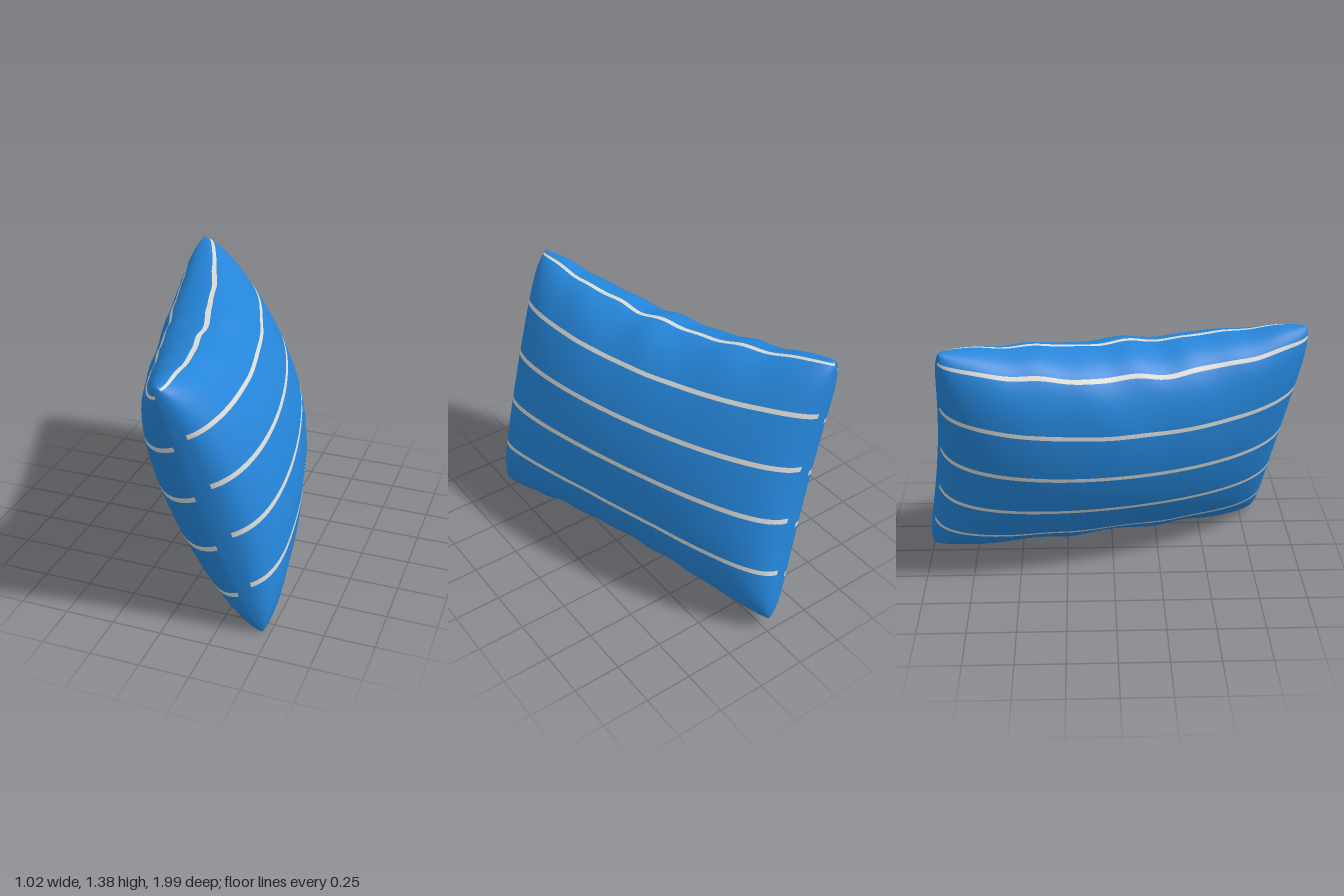
import * as THREE from 'three';

const blue = new THREE.MeshStandardMaterial({ color: 0x2585d9 });
blue.name = 'blue fabric';
const white = new THREE.MeshStandardMaterial({ color: 0xd9d9d6 });
white.name = 'white stripe';

// Pillow axes: half length, half height and the thickness direction
const CENTER = new THREE.Vector3(0, 0.7, 0);
const U = new THREE.Vector3(0.245, -0.038, 0.932);
const V = new THREE.Vector3(-0.228, 0.674, 0.087);
const N = new THREE.Vector3().crossVectors(V, U).normalize();
const HALF_THICKNESS = 0.36;

// Point on the skin: theta runs along the length, phi runs around the section
function skinPoint(theta, phi) {
  const u = Math.sin(theta), v = Math.cos(phi), s = Math.sin(phi);
  const open = Math.max(0, Math.cos(theta));
  const gather = Math.pow(v, 4) * open * open;
  // seams draw inward, corners are rounded, small irregular folds along top and bottom
  const folds = 0.01 * Math.sin(14 * u + 2 * v) + 0.008 * Math.sin(23 * u + 1);
  const along = u * (1 - 0.045 * (1 - v * v) - 0.03 * Math.pow(v, 10));
  const up = v * (1 - 0.15 * open * open - 0.03 * Math.pow(u, 10) + gather * folds);
  const dents = 1 + gather * 0.07 * Math.sin(13 * u + 3 * s);
  const plump = Math.pow(open, 0.75) * Math.sign(s) * Math.pow(Math.abs(s), 0.85);
  return CENTER.clone().addScaledVector(U, along).addScaledVector(V, up)
    .addScaledVector(N, HALF_THICKNESS * plump * dents);
}

// Stripe borders around the section: face stripes plus a thin one on the bottom seam
const stripeHeights = { left: [0.978, 0.61, 0.21, -0.19, -0.6], right: [0.94, 0.55, 0.145, -0.26, -0.65] };
const stripe = (phi, halfWidth) => {
  const speed = Math.hypot(0.69 * Math.sin(phi), HALF_THICKNESS * Math.cos(phi));
  return [phi - halfWidth / speed, phi + halfWidth / speed];
};
const stripes = [
  ...stripeHeights.left.map(v => stripe(Math.acos(v), 0.013)),
  stripe(Math.PI, 0.005),
  ...stripeHeights.right.map(v => stripe(2 * Math.PI - Math.acos(v), 0.013)),
];

function buildSkin() {
  const rows = 96, steps = 96;
  const inStripe = phi => stripes.some(([a, b]) => phi > a && phi < b);

  // Section angles: even steps plus the exact stripe borders
  const phis = stripes.flat();
  for (let i = 0; i <= steps; i++) {
    const phi = (i / steps) * 2 * Math.PI;
    if (!inStripe(phi)) phis.push(phi);
  }
  phis.sort((a, b) => a - b);

  const positions = [], fabric = [], bands = [], cols = phis.length;
  for (let i = 0; i <= rows; i++) {
    const theta = (i / rows - 0.5) * Math.PI;
    for (const phi of phis) positions.push(...skinPoint(theta, phi).toArray());
  }
  for (let i = 0; i < rows; i++) {
    const nearEnd = i < 2 || i >= rows - 2; // stripes stop short of the end seams
    for (let j = 0; j < cols - 1; j++) {
      const a = i * cols + j, b = a + cols;
      const striped = !nearEnd && inStripe((phis[j] + phis[j + 1]) / 2);
      (striped ? bands : fabric).push(a, b, a + 1, b, b + 1, a + 1);
    }
  }

  const geometry = new THREE.BufferGeometry();
  geometry.setAttribute('position', new THREE.Float32BufferAttribute(positions, 3));
  geometry.setIndex([...fabric, ...bands]);
  geometry.addGroup(0, fabric.length, 0);
  geometry.addGroup(fabric.length, bands.length, 1);
  geometry.computeVertexNormals();

  // Smooth the closed end seams and the join of the section loop
  const normal = geometry.attributes.normal;
  const end = U.clone().normalize(), first = new THREE.Vector3(), last = new THREE.Vector3();
  for (let i = 0; i <= rows; i++) {
    const a = i * cols, b = a + cols - 1;
    first.fromBufferAttribute(normal, a).add(last.fromBufferAttribute(normal, b)).normalize();
    normal.setXYZ(a, first.x, first.y, first.z);
    normal.setXYZ(b, first.x, first.y, first.z);
  }
  for (let j = 0; j < cols; j++) {
    normal.setXYZ(j, -end.x, -end.y, -end.z);
    normal.setXYZ(rows * cols + j, end.x, end.y, end.z);
  }
  return geometry;
}

export function createModel() {
  const group = new THREE.Group();
  group.name = 'pillow';
  const skin = new THREE.Mesh(buildSkin(), [blue, white]);
  skin.name = 'stripedCover';
  group.add(skin);

  // Rest on the ground, centred
  const box = new THREE.Box3().setFromObject(group);
  const mid = box.getCenter(new THREE.Vector3());
  skin.position.set(-mid.x, -box.min.y, -mid.z);
  return group;
}
